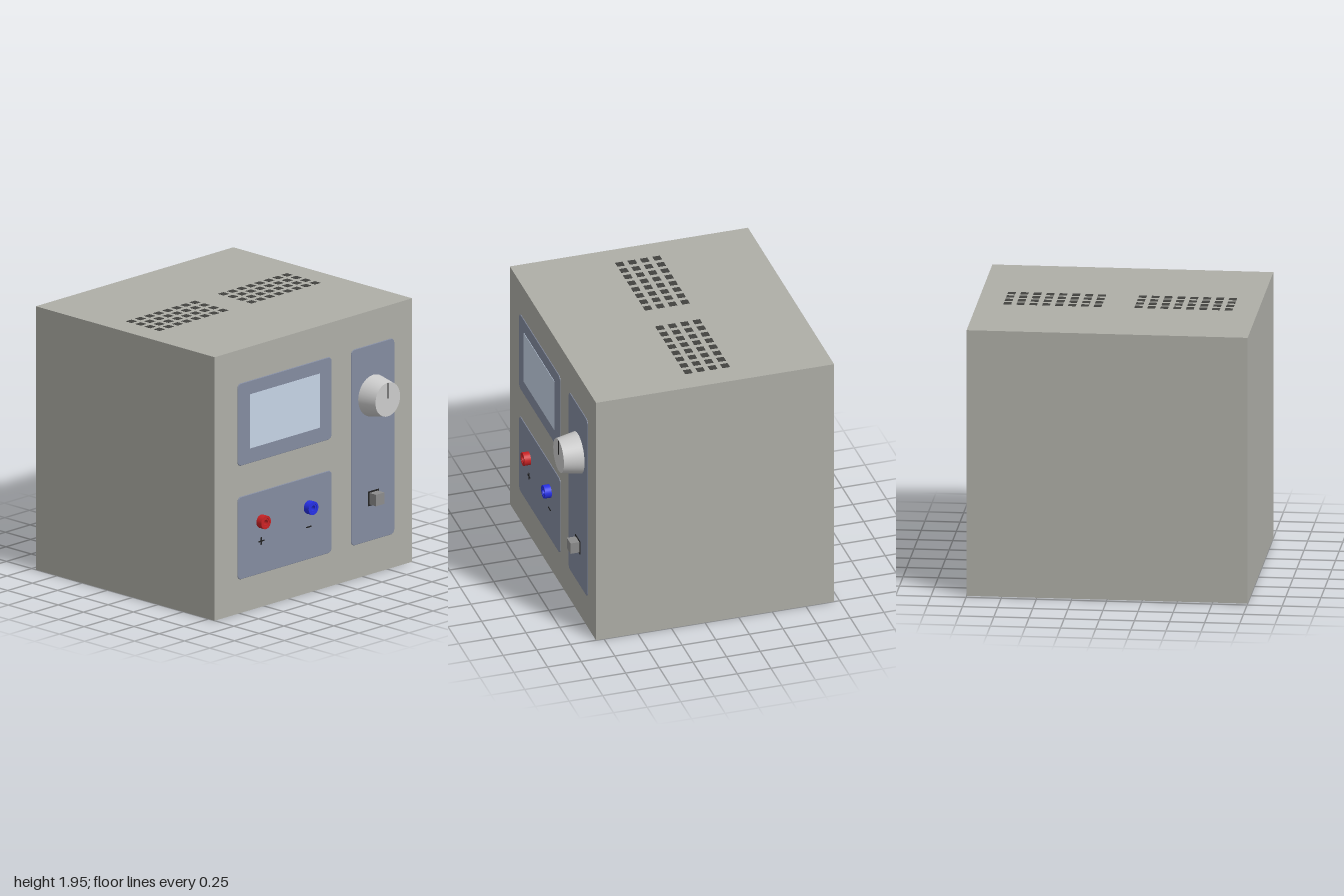
import * as THREE from 'three';

const FRONT = 0.81, BACK = -0.96, HEIGHT = 1.95;
const FACE = FRONT + 0.006; // outer face of the front panels

const paint = (color) => new THREE.MeshStandardMaterial({ color });
const caseMat = paint(0xaeaea7), panelMat = paint(0x848ca0), screenMat = paint(0xc5d3e5);
const knobMat = paint(0xcccccc), darkMat = paint(0x222222), ventMat = paint(0x42423f);
const redMat = paint(0xc82224), blueMat = paint(0x2630e4), buttonMat = paint(0x8c8c8c);

export function createModel() {
  const model = new THREE.Group();

  const add = (name, geometry, material, x, y, z, parent = model) => {
    const mesh = new THREE.Mesh(geometry, material);
    mesh.name = name;
    mesh.position.set(x, y, z);
    parent.add(mesh);
    return mesh;
  };
  // Box standing out from z0 to z1, centred on x, y
  const block = (name, material, x, y, w, h, z0, z1, parent) =>
    add(name, new THREE.BoxGeometry(w, h, z1 - z0), material, x, y, (z0 + z1) / 2, parent);

  // Case
  block('case', caseMat, 0, HEIGHT / 2, 2, HEIGHT, BACK, FRONT);

  // Front panels: thin plates with rounded corners and a soft edge
  const panel = (name, x0, x1, y0, y1) => {
    const b = 0.004, r = 0.03;
    const [l, t, d, u] = [x0 + b, x1 - b, y0 + b, y1 - b];
    const s = new THREE.Shape();
    s.absarc(t - r, d + r, r, -Math.PI / 2, 0);
    s.absarc(t - r, u - r, r, 0, Math.PI / 2);
    s.absarc(l + r, u - r, r, Math.PI / 2, Math.PI);
    s.absarc(l + r, d + r, r, Math.PI, Math.PI * 1.5);
    const geometry = new THREE.ExtrudeGeometry(s, {
      depth: 0.002, bevelThickness: b, bevelSize: b, bevelSegments: 2, curveSegments: 6,
    });
    add(name, geometry, panelMat, 0, 0, FRONT);
  };
  panel('displayPanel', -0.77, 0.18, 1.09, 1.7);
  panel('outputPanel', -0.77, 0.18, 0.25, 0.86);
  panel('controlPanel', 0.38, 0.815, 0.25, 1.7);

  // Display
  block('screen', screenMat, -0.295, 1.4, 0.71, 0.4, FRONT, FACE + 0.003);

  // Tapered control knob with its pointer line
  const knob = new THREE.Group();
  knob.name = 'knob';
  model.add(knob);
  const cone = new THREE.CylinderGeometry(0.125, 0.153, 0.145, 40).rotateX(Math.PI / 2);
  add('knobBody', cone, knobMat, 0.6, 1.32, 0.8875, knob);
  block('knobPointer', darkMat, 0.6, 1.385, 0.01, 0.115, 0.95, 0.962, knob);

  // Power button in a dark frame
  block('buttonFrame', darkMat, 0.6, 0.565, 0.108, 0.108, FRONT, FACE + 0.003);
  block('powerButton', buttonMat, 0.6, 0.565, 0.085, 0.085, FRONT, 0.885);

  // Output sockets: hollow sleeves with an inner contact ring
  const ring = (outer, inner, z0, z1) => new THREE.LatheGeometry(
    [[inner, z0], [outer, z0], [outer, z0], [outer, z1], [outer, z1], [inner, z1], [inner, z1], [inner, z0]]
      .map(([r, z]) => new THREE.Vector2(r, z)), 28).rotateX(Math.PI / 2);
  const socket = (name, x, material) => {
    const group = new THREE.Group();
    group.name = name;
    group.position.set(x, 0.637, 0);
    model.add(group);
    add('sleeve', ring(0.049, 0.033, FRONT, 0.865), material, 0, 0, 0, group);
    add('contact', ring(0.031, 0.02, FRONT, 0.862), material, 0, 0, 0, group);
    add('hole', new THREE.CircleGeometry(0.034, 28), darkMat, 0, 0, FACE + 0.004, group);
  };
  socket('positiveSocket', -0.535, redMat);
  socket('negativeSocket', -0.055, blueMat);

  // Polarity marks below the sockets
  block('positiveMarkBar', darkMat, -0.535, 0.49, 0.055, 0.009, FACE, FACE + 0.004);
  block('positiveMarkStem', darkMat, -0.535, 0.49, 0.009, 0.055, FACE, FACE + 0.0035);
  block('negativeMark', darkMat, -0.055, 0.49, 0.05, 0.009, FACE, FACE + 0.004);

  // Two fields of square vents in the top
  const ventShape = new THREE.BoxGeometry(0.055, 0.004, 0.055);
  for (const [name, startX] of [['rightVents', -0.79], ['leftVents', 0.142]]) {
    const field = new THREE.Group();
    field.name = name;
    model.add(field);
    for (let row = 0; row < 4; row++) {
      for (let col = 0; col < 8; col++) {
        add('vent', ventShape, ventMat, startX + col * 0.0918, HEIGHT, -0.218 + row * 0.0923, field);
      }
    }
  }

  return model;
}
